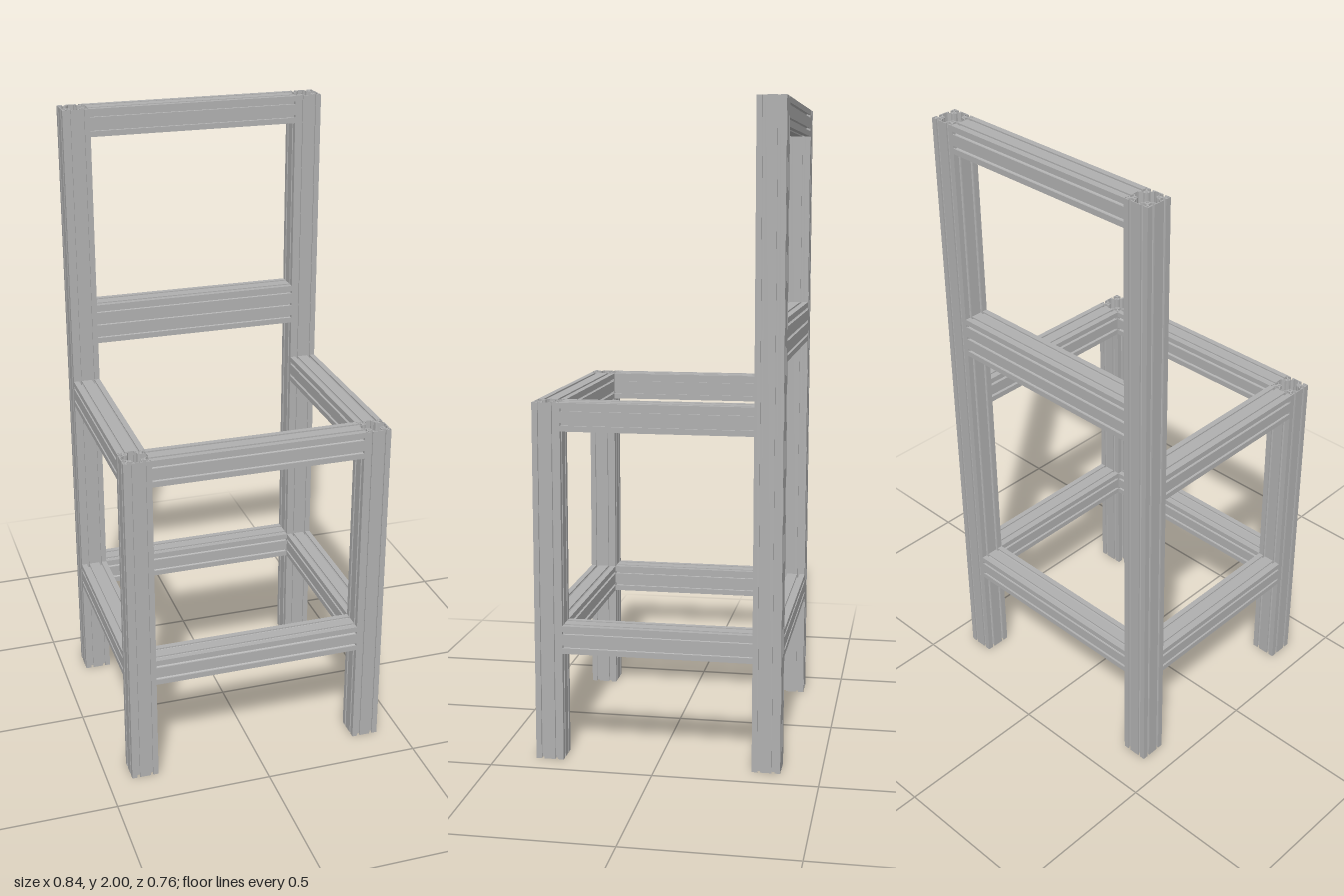
import * as THREE from 'three';

const S = 0.0865;        // width of the square profile
const U = S / 80;        // one profile unit; a module is 40 units wide
const SLOT = [[-4, 0], [-4, 4], [-10, 4], [-10, 6], [-5, 12.3], [5, 12.3], [10, 6], [10, 4], [4, 4], [4, 0]];

// T-slot cross-section of nx by ny modules, centred on the origin
function profileShape(nx, ny) {
  const W = nx * 40, H = ny * 40;
  const pt = (x, y) => new THREE.Vector2((x - W / 2) * U, (y - H / 2) * U);

  // Outline: walk the four sides, cutting a T-slot into each module
  const outline = [];
  const sides = [[0, 0, 1, 0, nx], [W, 0, 0, 1, ny], [W, H, -1, 0, nx], [0, H, 0, -1, ny]];
  for (const [x, y, dx, dy, n] of sides) {
    outline.push(pt(x, y));
    for (let i = 0; i < n; i++) {
      for (const [s, d] of SLOT) {
        const t = 20 + 40 * i + s;
        outline.push(pt(x + dx * t - dy * d, y + dy * t + dx * d));
      }
    }
  }
  const shape = new THREE.Shape(outline);
  const addHole = (points) => shape.holes.push(new THREE.Path(points));

  // Round screw cores
  for (let i = 0; i < nx; i++) {
    for (let j = 0; j < ny; j++) {
      const c = pt(20 + 40 * i, 20 + 40 * j);
      const core = new THREE.Path();
      core.absarc(c.x, c.y, 3.4 * U, 0, Math.PI * 2, true);
      shape.holes.push(core);
    }
  }

  // Small square corner chambers
  for (const x of [2, W - 7]) {
    for (const y of [2, H - 7]) addHole([pt(x, y), pt(x, y + 5), pt(x + 5, y + 5), pt(x + 5, y)]);
  }

  // Large chambers between modules, with an arm towards each side
  for (let i = 1; i < nx; i++) {
    for (let j = 1; j < ny; j++) {
      const chamber = [];
      const arms = [[1, 0, i === nx - 1], [0, 1, j === ny - 1], [-1, 0, i === 1], [0, -1, j === 1]];
      for (const [dx, dy, outer] of arms) {
        const half = outer ? [[20, 13.5], [26, 13.5], [33, 8], [38, 8]] : [[18.5, 13.5]];
        const arm = [[15.5, -15.5], ...half.map(([r, w]) => [r, -w]), ...half.slice().reverse()];
        for (const [r, w] of arm) chamber.push(pt(40 * i + dx * r - dy * w, 40 * j + dy * r + dx * w));
      }
      addHole(chamber);
    }
  }
  return shape;
}

export function createModel() {
  const model = new THREE.Group();
  model.name = 'chairFrame';
  const aluminium = new THREE.MeshStandardMaterial({ color: 0xb0b0b0 });
  aluminium.name = 'aluminium grey';

  const square = profileShape(2, 2);
  const tall = profileShape(2, 3);
  const X = 0.4215 - S / 2, Z = 0.378 - S / 2;   // post centre lines

  // A length of profile along one axis, centred on a position
  function beam(name, shape, axis, length, x, y, z) {
    const geo = new THREE.ExtrudeGeometry(shape, { depth: length, bevelEnabled: false, curveSegments: 8 });
    geo.translate(0, 0, -length / 2);
    if (axis === 'x') geo.rotateY(Math.PI / 2);
    if (axis === 'y') geo.rotateX(-Math.PI / 2);
    const mesh = new THREE.Mesh(geo, aluminium);
    mesh.name = name;
    mesh.position.set(x, y, z);
    model.add(mesh);
  }

  const across = 2 * X - S, deep = 2 * Z - S;
  const lowY = 0.381, seatY = 1.11 - S / 2, topY = 2 - S / 2;

  // Posts and side rails, mirrored left and right
  for (const [side, sx] of [['left', 1], ['right', -1]]) {
    beam(side + 'FrontLeg', square, 'y', 1.11, sx * X, 0.555, Z);
    beam(side + 'BackPost', square, 'y', 2, sx * X, 1, -Z);
    beam(side + 'SeatRail', square, 'z', deep, sx * X, seatY, 0);
    beam(side + 'Stretcher', square, 'z', deep, sx * X, lowY, 0);
  }

  // Cross rails
  beam('frontStretcher', square, 'x', across, 0, lowY, Z);
  beam('backStretcher', square, 'x', across, 0, lowY, -Z);
  beam('frontSeatRail', square, 'x', across, 0, seatY, Z);
  beam('backrestTopRail', square, 'x', across, 0, topY, -Z);
  beam('backrestMiddleRail', tall, 'x', across, 0, 1.301, -Z);

  return model;
}
